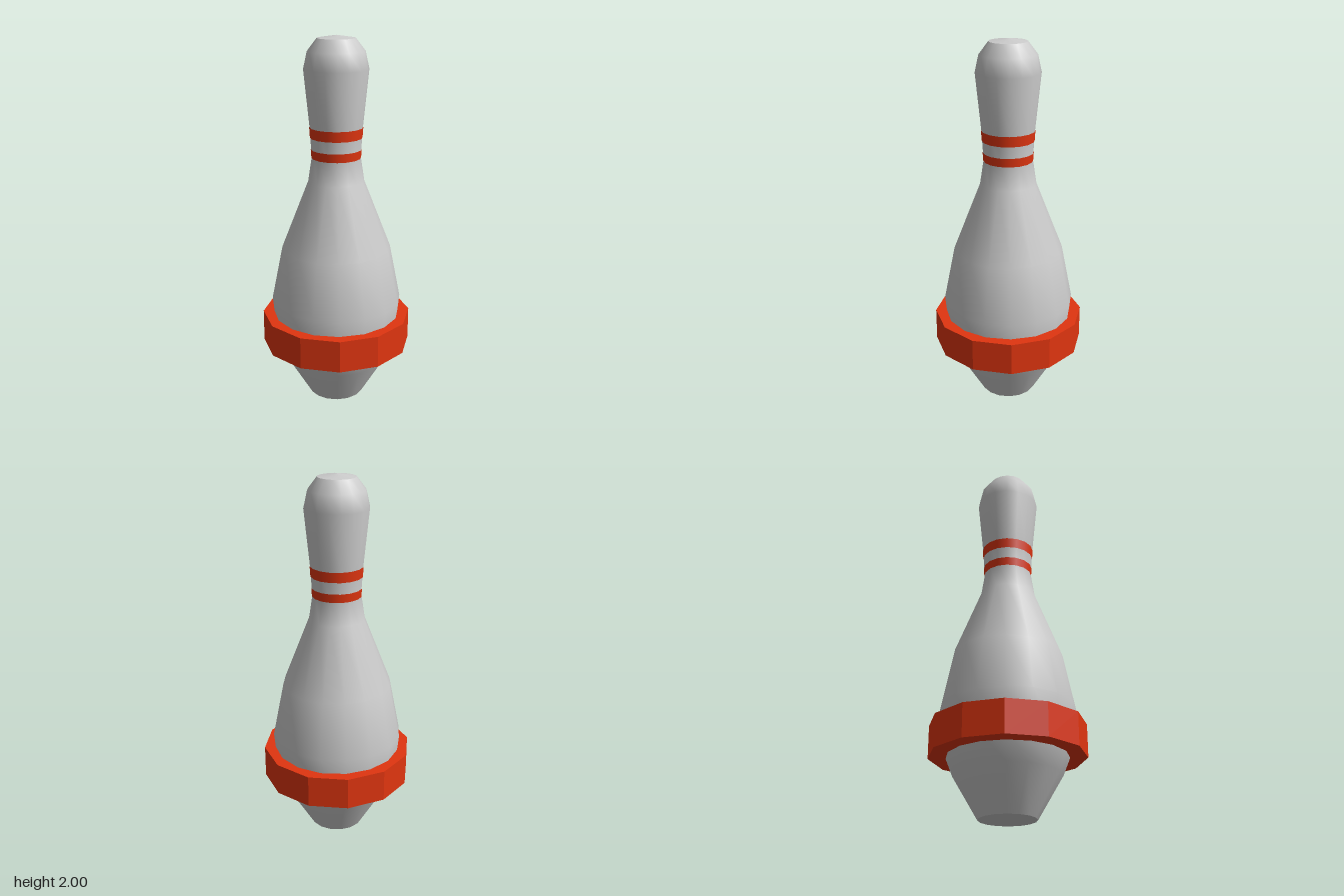
import * as THREE from 'three';

export function createModel() {
  const group = new THREE.Group();
  const grey = new THREE.MeshStandardMaterial({ color: 0xcccccc });
  const red = new THREE.MeshStandardMaterial({ color: 0xe03510 });
  const redFlat = new THREE.MeshStandardMaterial({ color: 0xe03510, flatShading: true });
  const SIDES = 16;

  const add = (name, geometry, material, y = 0) => {
    const mesh = new THREE.Mesh(geometry, material);
    mesh.name = name;
    mesh.position.y = y;
    group.add(mesh);
  };
  const lathe = (points) =>
    new THREE.LatheGeometry(points.map(([r, y]) => new THREE.Vector2(r, y)), SIDES);

  // Pin body, from foot to crown
  const profile = [
    [0.15, 0], [0.28, 0.22], [0.335, 0.36], [0.355, 0.57], [0.295, 0.87], [0.15, 1.24],
    [0.13, 1.37], [0.14, 1.53], [0.17, 1.83], [0.15, 1.92], [0.1, 1.985],
  ];
  add('body', lathe(profile), grey);

  // Closing faces, separate so their rims stay sharp
  add('crown', lathe([[0.1, 1.985], [0, 2]]), grey);
  add('base', lathe([[0, 0], [0.15, 0]]), grey);

  // Thin neck stripes that follow the taper of the neck
  const neckRadius = (y) => 0.13 + (y - 1.37) * (0.01 / 0.16) + 0.002;
  for (const [name, low, high] of [['lowerStripe', 1.367, 1.413], ['upperStripe', 1.475, 1.53]]) {
    add(name, lathe([[neckRadius(low), low], [neckRadius(high), high]]), red);
  }

  // Wide faceted belt
  add('belt', new THREE.CylinderGeometry(0.408, 0.408, 0.175, 12), redFlat, 0.4);

  return group;
}
